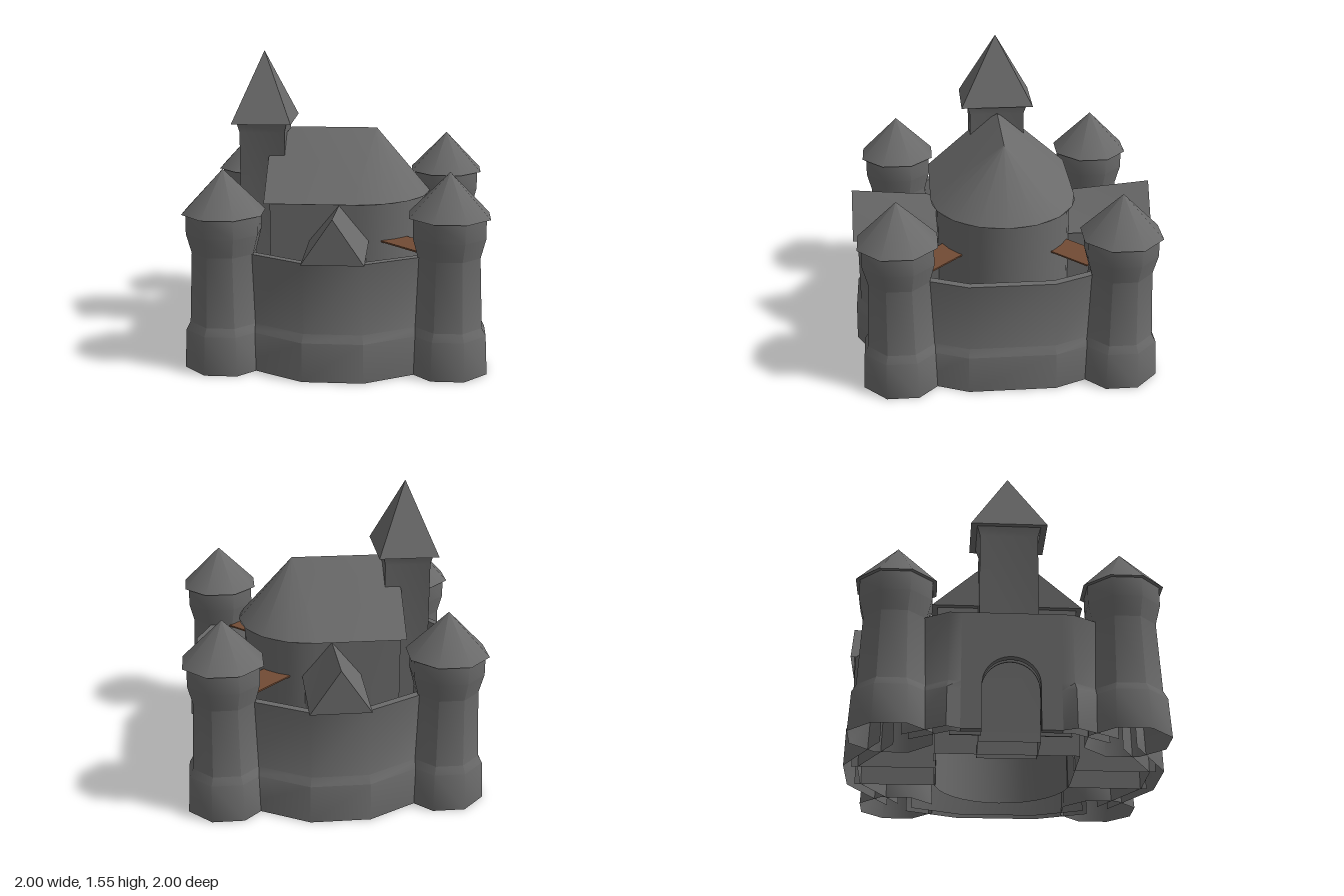
import * as THREE from 'three';
import { toCreasedNormals } from 'three/addons/utils/BufferGeometryUtils.js';

// Walls are open shells underneath, so the stone shows both sides
const stone = new THREE.MeshStandardMaterial({ color: 0x6a6a6a, side: THREE.DoubleSide });
stone.name = 'stone';
const wood = new THREE.MeshStandardMaterial({ color: 0x724b34 });
wood.name = 'wood';

function add(parent, name, geometry, material = stone) {
  const mesh = new THREE.Mesh(geometry, material);
  mesh.name = name;
  parent.add(mesh);
  return mesh;
}

// Geometry from convex polygons, each a counter-clockwise list of points
function faces(polygons) {
  const pos = [];
  for (const p of polygons) {
    for (let i = 1; i < p.length - 1; i++) pos.push(...p[0], ...p[i], ...p[i + 1]);
  }
  const g = new THREE.BufferGeometry();
  g.setAttribute('position', new THREE.Float32BufferAttribute(pos, 3));
  return toCreasedNormals(g, 0.6);
}

// Regular many-sided tower from a profile of [half width, height]
function turned(profile, sides) {
  const k = 1 / Math.cos(Math.PI / sides);
  const pts = profile.map(([r, y]) => new THREE.Vector2(r * k, y));
  return toCreasedNormals(new THREE.LatheGeometry(pts, sides, Math.PI / sides), 0.8);
}

// Sweeps the curtain wall section along plan points [x, z, normal x, normal z, skirt]
const wallSection = [[0.03, 0], [0.025, 0.2], [0, 0.24], [0, 0.6], [-0.04, 0.6], [-0.04, 0]];
function wall(path) {
  const rings = path.map(([x, z, nx, nz, skirt]) => wallSection.map(([offset, y]) => {
    const o = offset > 0 ? offset * skirt : offset;
    return [x + nx * o, y, z + nz * o];
  }));
  const polys = [];
  for (let i = 0; i < rings.length - 1; i++) {
    for (let j = 0; j < wallSection.length - 1; j++) {
      polys.push([rings[i][j], rings[i + 1][j], rings[i + 1][j + 1], rings[i][j + 1]]);
    }
  }
  return faces(polys);
}

// Upright panel with an arched opening
function archPanel(half, top, depth) {
  const s = new THREE.Shape();
  s.moveTo(half, top);
  s.lineTo(-half, top);
  s.lineTo(-half, 0);
  s.lineTo(-0.14, 0);
  s.lineTo(-0.14, 0.23);
  s.absarc(0, 0.23, 0.14, Math.PI, 0, true);
  s.lineTo(0.14, 0);
  s.lineTo(half, 0);
  s.closePath();
  return new THREE.ExtrudeGeometry(s, { depth, bevelEnabled: false, curveSegments: 12 });
}

// Hall plan: square at the back, half round at the front
function hallPlan(r) {
  const s = new THREE.Shape();
  s.moveTo(-r, -r);
  s.lineTo(r, -r);
  s.lineTo(r, 0.08);
  s.absarc(0, 0.08, r, 0, Math.PI, false);
  s.closePath();
  return s;
}

function addHall(parent) {
  const hall = new THREE.Group();
  hall.name = 'hall';
  parent.add(hall);
  const e = 0.389, y = 0.8;
  const plan = hallPlan(0.36).getPoints(8);
  add(hall, 'hallWalls', faces(plan.slice(1).map((q, i) => {
    const p = plan[i];
    return [[q.x, 0, q.y], [p.x, 0, p.y], [p.x, y, p.y], [q.x, y, q.y]];
  })));

  // Half-hipped roof ending in a rounded apse
  const back = [0, 1.14, -0.283], front = [0, 1.14, 0.18];
  const hip = (s) => [s * 0.16, 1.0, -e];
  const corner = (s) => [s * e, y, -e];
  const polys = [
    [front, [e, y, 0.08], corner(1), hip(1), back],
    [back, hip(-1), corner(-1), [-e, y, 0.08], front],
    [back, hip(1), hip(-1)],
    [hip(1), corner(1), corner(-1), hip(-1)],
  ];
  const rim = (i) => {
    const t = (i / 8) * Math.PI;
    return [e * Math.cos(t), y, 0.08 + e * Math.sin(t)];
  };
  for (let i = 0; i < 8; i++) polys.push([front, rim(i + 1), rim(i)]);
  add(hall, 'hallRoof', faces(polys));
  add(hall, 'hallSoffit', new THREE.ShapeGeometry(hallPlan(e), 8)
    .rotateX(Math.PI / 2).translate(0, y, 0));
}

// Gabled side wing reaching out along +x, closed at its end by the curtain wall
function addWing(parent, angle) {
  const wing = new THREE.Group();
  wing.name = 'wing';
  wing.rotation.y = angle;
  parent.add(wing);
  const xi = 0.35, xo = 0.81, xw = 0.775, w = 0.155, v = 0.14, y = 0.6;
  add(wing, 'wingWalls', faces([
    [[xi, 0, v], [xw, 0, v], [xw, y, v], [xi, y, v]],
    [[xw, 0, -v], [xi, 0, -v], [xi, y, -v], [xw, y, -v]],
  ]));
  const ro = [xo, 0.83, 0], ri = [xi, 0.79, 0];
  add(wing, 'wingRoof', faces([
    [ri, [xi, y, w], [xo, y, w], ro],
    [ro, [xo, y, -w], [xi, y, -w], ri],
    [ro, [xo, y, w], [xo, y, -w]],
  ]));
}

export function createModel() {
  const castle = new THREE.Group();
  castle.name = 'castle';

  // Four round corner towers, and wooden bridges to two of them
  const towerGeo = turned([[0.2, 0], [0.19, 0.2], [0.17, 0.24], [0.155, 0.6],
    [0.18, 0.7], [0.18, 0.8], [0.2, 0.8], [0, 1.02]], 8);
  for (let i = 0; i < 4; i++) {
    const a = (i * Math.PI) / 2;
    add(castle, 'cornerTower', towerGeo).position.set(0.8 * Math.sin(a), 0, 0.8 * Math.cos(a));
  }
  const bridgeGeo = new THREE.BoxGeometry(0.26, 0.008, 0.165).translate(0.52, 0.596, 0);
  for (const angle of [0, -Math.PI / 2]) {
    add(castle, 'bridge', bridgeGeo, wood).rotation.y = angle;
  }

  // Everything else lies on the diagonal
  const keep = new THREE.Group();
  keep.name = 'keep';
  keep.rotation.y = Math.PI / 4;
  castle.add(keep);
  addHall(keep);
  addWing(keep, 0);
  addWing(keep, Math.PI);

  // Tall oblong tower behind the hall
  const tall = turned([[0.15, 0], [0.15, 1.13], [0.165, 1.18], [0.198, 1.18], [0, 1.55]], 4);
  add(keep, 'tallTower', tall.scale(1, 1, 0.8)).position.z = -0.424;

  // Curtain walls: front, two wrapping the wing ends, and the rear one with a gate
  const mirror = ([x, z, nx, nz, skirt]) => [-x, z, -nx, nz, skirt];
  const start = [-0.5, 0.59, -0.46, 0.89, 1];
  const frontBend = [-0.22, 0.705, -0.2, 1, 1];
  const wingBend = [-0.145, 0.785, -0.27, 1, 1];
  const gateBend = [-0.3, 0.714, -0.2, 1, 1];
  const gateEnd = [-0.24, 0.714, 0, 1, 0];
  const both = (half) => [...half, ...half.map(mirror).reverse()];
  const sides = [[start, frontBend], [start, wingBend], [start, gateBend, gateEnd], [start, wingBend]];
  sides.forEach((half, i) => {
    const side = new THREE.Group();
    side.name = i === 2 ? 'gateWall' : 'curtainWall';
    side.rotation.y = (i * Math.PI) / 2;
    keep.add(side);
    if (i !== 2) {
      add(side, 'wall', wall(both(half)));
      return;
    }
    add(side, 'gateWallRight', wall(half));
    add(side, 'gateWallLeft', wall(half.map(mirror).reverse()));
    add(side, 'gateArch', archPanel(0.24, 0.6, 0.04)).position.z = 0.674;
    const inner = add(side, 'innerGate', archPanel(0.29, 0.45, 0.008));
    inner.position.z = 0.625;
    inner.rotation.x = 0.05;
  });
  return castle;
}
